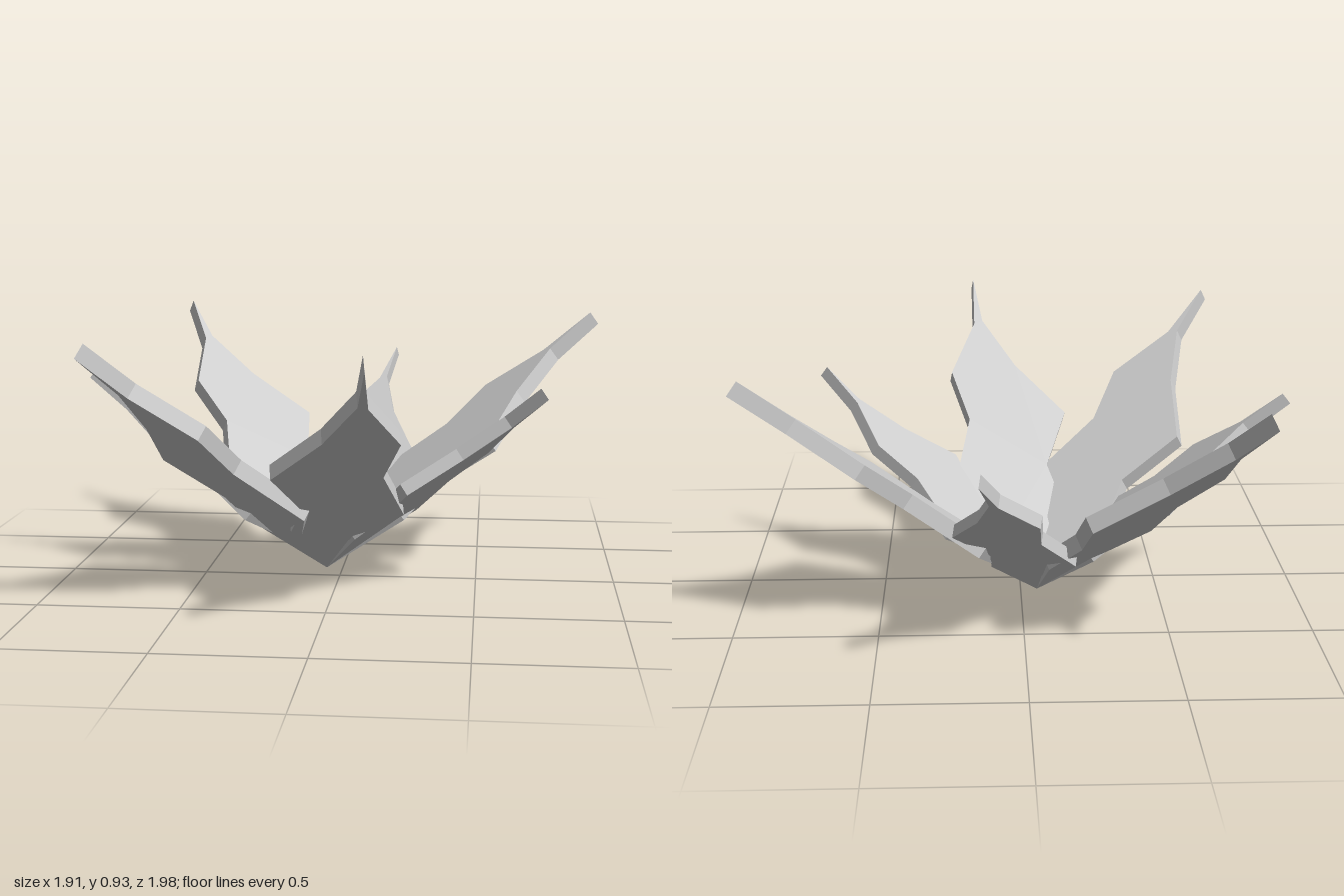
import * as THREE from 'three';

const TILT = 0.669; // leaf slope above the ground
const THICKNESS = 0.058;

// Jagged leaf outline: [distance outward on plan, sideways offset]
const OUTLINE = [
  [0, 0], [0.19, 0.06], [0.345, 0.24], [0.575, 0.134], [0.755, 0.166], [0.94, 0.035],
  [1.12, 0], [0.95, 0], [0.766, -0.093], [0.575, -0.248], [0.39, -0.128], [0.25, -0.155],
];

function leafGeometry() {
  const points = OUTLINE.map(([r, s]) => new THREE.Vector2(-s, r / Math.cos(TILT)));
  return new THREE.ExtrudeGeometry(new THREE.Shape(points), { depth: THICKNESS, bevelEnabled: false });
}

export function createModel() {
  const plant = new THREE.Group();
  plant.name = 'leafRosette';
  const leafGrey = new THREE.MeshStandardMaterial({ color: 0xcccccc });
  leafGrey.name = 'leafGrey';
  const geometry = leafGeometry();

  // Seven leaves around a common root, some of them smaller
  const sizes = [1, 1, 0.8, 1, 0.8, 1, 0.8];
  sizes.forEach((size, i) => {
    const angle = THREE.MathUtils.degToRad(78.1) + (i * Math.PI * 2) / sizes.length;
    const c = Math.cos(angle), s = Math.sin(angle);
    const side = new THREE.Vector3(-s, 0, c);
    const along = new THREE.Vector3(c * Math.cos(TILT), Math.sin(TILT), s * Math.cos(TILT));
    const normal = new THREE.Vector3().crossVectors(side, along);
    const leaf = new THREE.Mesh(geometry, leafGrey);
    leaf.name = `leaf${i + 1}`;
    leaf.quaternion.setFromRotationMatrix(new THREE.Matrix4().makeBasis(side, along, normal));
    leaf.scale.setScalar(size);
    leaf.position.set(-0.06, 0, -0.11);
    plant.add(leaf);
  });
  return plant;
}
